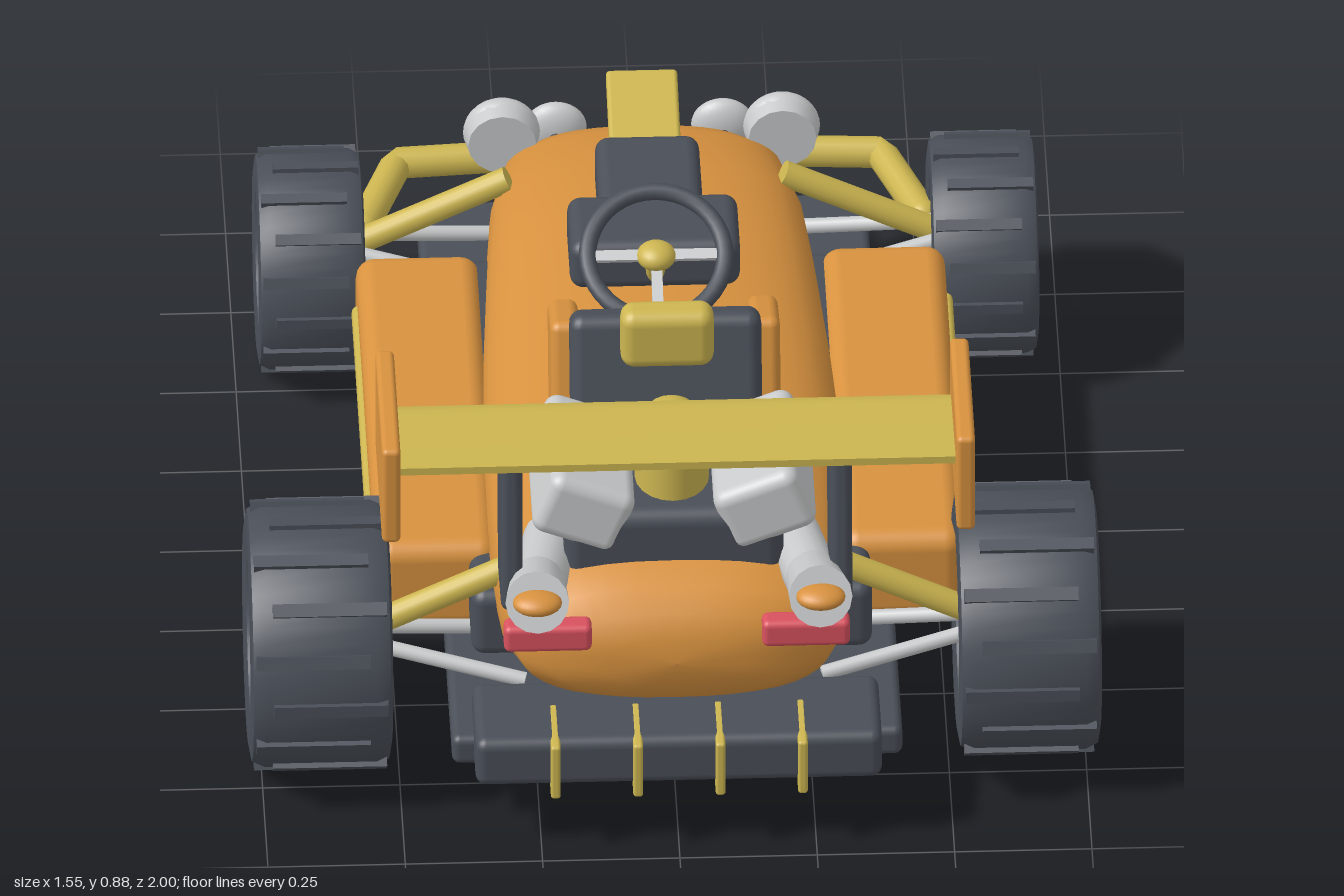
import * as THREE from 'three';
import { toCreasedNormals } from 'three/addons/utils/BufferGeometryUtils.js';
import { RoundedBoxGeometry } from 'three/addons/geometries/RoundedBoxGeometry.js';

const mat = (name, color) => {
  const m = new THREE.MeshStandardMaterial({ color });
  m.name = name;
  return m;
};

export function createModel() {
  const orange = mat('orange paint', 0xd8923f);
  const yellow = mat('yellow paint', 0xcdb651);
  const dark = mat('dark rubber', 0x4a4f58);
  const silver = mat('silver metal', 0xc9cacb);
  const red = mat('red', 0xd9525f);
  const V = (x, y, z) => new THREE.Vector3(x, y, z);
  const car = new THREE.Group();
  car.name = 'racingBuggy';

  const add = (name, geo, m, x = 0, y = 0, z = 0, parent = car) => {
    const mesh = new THREE.Mesh(geo, m);
    mesh.name = name;
    mesh.position.set(x, y, z);
    parent.add(mesh);
    return mesh;
  };
  const box = (name, m, w, h, d, x, y, z, r = 0.02, parent = car) =>
    add(name, new RoundedBoxGeometry(w, h, d, 3, r), m, x, y, z, parent);
  // Cylinder between two points
  const rod = (name, m, a, b, r, r2 = r) => {
    const d = b.clone().sub(a);
    const mesh = add(name, new THREE.CylinderGeometry(r2, r, d.length(), 16), m);
    mesh.position.copy(a).add(b).multiplyScalar(0.5);
    mesh.quaternion.setFromUnitVectors(V(0, 1, 0), d.normalize());
    return mesh;
  };
  const ball = (name, m, x, y, z, rx, ry, rz) => {
    const mesh = add(name, new THREE.SphereGeometry(1, 24, 16), m, x, y, z);
    mesh.scale.set(rx, ry, rz);
    return mesh;
  };

  // Body shell lofted along z: [z, half width, bottom, top]
  const stations = [
    [-0.92, 0.001, 0.235, 0.237], [-0.912, 0.08, 0.2, 0.265], [-0.89, 0.16, 0.175, 0.295],
    [-0.85, 0.215, 0.17, 0.33], [-0.77, 0.255, 0.17, 0.375], [-0.6, 0.285, 0.17, 0.42],
    [-0.4, 0.3, 0.17, 0.445], [-0.1, 0.318, 0.17, 0.455], [0.2, 0.33, 0.17, 0.465],
    [0.45, 0.33, 0.17, 0.495], [0.6, 0.325, 0.18, 0.5], [0.72, 0.315, 0.2, 0.49],
    [0.8, 0.285, 0.22, 0.465], [0.84, 0.23, 0.25, 0.435], [0.86, 0.13, 0.29, 0.39],
    [0.865, 0.001, 0.339, 0.341]];
  const N = 40, pos = [], idx = [];
  const pw = (v) => Math.sign(v) * Math.abs(v) ** 0.8;
  stations.forEach(([z, w, b, t], k) => {
    for (let i = 0; i < N; i++) {
      const a = (i / N) * Math.PI * 2;
      pos.push(w * pw(Math.cos(a)), (b + t) / 2 + ((t - b) / 2) * pw(Math.sin(a)), z);
      if (k < stations.length - 1) {
        const p = k * N + i, q = k * N + ((i + 1) % N);
        idx.push(p, q, q + N, p, q + N, p + N);
      }
    }
  });
  const shell = new THREE.BufferGeometry();
  shell.setAttribute('position', new THREE.Float32BufferAttribute(pos, 3));
  shell.setIndex(idx);
  shell.computeVertexNormals();
  add('body', shell, orange);

  // Floor and rear diffuser
  box('floor', dark, 0.82, 0.06, 1.7, 0, 0.165, 0.03, 0.015);
  box('diffuser', dark, 0.74, 0.1, 0.2, 0, 0.19, 0.86, 0.02);
  for (const x of [-0.225, -0.075, 0.075, 0.225])
    box('diffuserFin', yellow, 0.018, 0.115, 0.14, x, 0.183, 0.91, 0.006);

  // Cockpit
  box('seatBack', dark, 0.35, 0.28, 0.07, 0, 0.585, 0.325, 0.025).rotation.x = -0.3;
  box('headrest', yellow, 0.17, 0.12, 0.068, 0, 0.74, 0.388, 0.025);
  box('dashboard', dark, 0.31, 0.1, 0.175, 0, 0.5, -0.245, 0.025);
  box('cowl', dark, 0.19, 0.1, 0.25, 0, 0.457, -0.455, 0.025);
  box('nosePlate', yellow, 0.13, 0.03, 0.25, 0, 0.44, -0.695, 0.008).rotation.x = 0.23;

  // Steering wheel faces up and towards the seat
  const steering = new THREE.Group();
  steering.name = 'steeringWheel';
  steering.position.set(0, 0.557, -0.118);
  steering.rotation.x = -0.98;
  car.add(steering);
  add('steeringRim', new THREE.TorusGeometry(0.125, 0.016, 12, 40), dark, 0, 0, 0, steering);
  for (const a of [0, Math.PI, -Math.PI / 2]) {
    const spoke = add('steeringSpoke', new THREE.BoxGeometry(0.11, 0.02, 0.012), silver,
      Math.cos(a) * 0.065, Math.sin(a) * 0.065, 0, steering);
    spoke.rotation.z = a;
  }
  ball('steeringHub', yellow, 0, 0.557, -0.118, 0.036, 0.025, 0.036);
  rod('steeringColumn', yellow, V(0, 0.44, -0.2), V(0, 0.557, -0.118), 0.018);

  // Engine
  box('engineBlock', dark, 0.4, 0.17, 0.32, 0, 0.5, 0.58, 0.03);
  const intake = add('airIntake', new THREE.CapsuleGeometry(0.068, 0.11, 8, 20), yellow, 0, 0.62, 0.615);
  intake.scale.z = 1.2;

  // Rear wing
  const foil = new THREE.Shape();
  foil.moveTo(-0.64, 0.755);
  foil.quadraticCurveTo(-0.64, 0.79, -0.72, 0.792);
  foil.lineTo(-0.895, 0.81);
  foil.lineTo(-0.895, 0.795);
  foil.quadraticCurveTo(-0.74, 0.72, -0.64, 0.755);
  const wing = new THREE.ExtrudeGeometry(foil, { depth: 1.03, bevelEnabled: false, curveSegments: 10 });
  wing.rotateY(Math.PI / 2).translate(-0.515, 0, 0);
  add('rearWing', toCreasedNormals(wing, 0.6), yellow);

  // Front bumper
  const path = new THREE.CurvePath();
  const pts = [V(-0.51, 0.195, -0.74), V(-0.44, 0.195, -0.94), V(0, 0.195, -0.97),
    V(0.44, 0.195, -0.94), V(0.51, 0.195, -0.74)];
  for (let i = 0; i < 4; i++) path.add(new THREE.LineCurve3(pts[i], pts[i + 1]));
  add('frontBumper', new THREE.TubeGeometry(path, 80, 0.029, 12), yellow);
  for (const p of [pts[0], pts[4]]) ball('bumperEnd', yellow, p.x, p.y, p.z, 0.029, 0.029, 0.029);

  // Wheel with its axis on local y, pointing outboard
  const wheel = (name, s, x, y, z, R, w) => {
    const g = new THREE.Group();
    g.name = name;
    g.position.set(s * x, y, z);
    g.rotation.z = (-s * Math.PI) / 2;
    car.add(g);
    const h = w / 2, ri = R * 0.6;
    const profile = [[ri, -h * 0.8], [ri * 1.08, -h * 0.95], [R * 0.82, -h], [R * 0.94, -h * 0.96],
      [R * 0.985, -h * 0.78], [R * 0.985, h * 0.78], [R * 0.94, h * 0.96], [R * 0.82, h],
      [ri * 1.08, h * 0.95], [ri, h * 0.8], [ri, -h * 0.8]].map(([a, b]) => new THREE.Vector2(a, b));
    add('tyre', toCreasedNormals(new THREE.LatheGeometry(profile, 48), 0.5), dark, 0, 0, 0, g);
    for (let i = 0; i < 16; i++) {
      const a = (i / 16) * Math.PI * 2;
      const bar = add('treadBar', new THREE.BoxGeometry(0.022, w * 0.8, R * 0.1), dark,
        Math.cos(a) * (R - 0.006), (i % 2 ? 1 : -1) * w * 0.06, Math.sin(a) * (R - 0.006), g);
      bar.rotation.y = -a;
    }
    // Five spokes, widening outwards, with one pointing up
    for (let i = 0; i < 5; i++) {
      const a = (i / 5) * Math.PI * 2 + (s > 0 ? Math.PI : 0);
      const geo = new THREE.CylinderGeometry(R * 0.1, R * 0.065, ri, 12);
      geo.rotateZ(-Math.PI / 2).translate(ri * 0.52, 0, 0).rotateY(-a);
      add('spoke', geo, yellow, 0, h * 0.3, 0, g);
    }
    add('axle', new THREE.CylinderGeometry(R * 0.1, R * 0.1, w * 0.8, 16), red, 0, -h * 0.1, 0, g);
    add('hubCap', new THREE.SphereGeometry(R * 0.17, 20, 14), red, 0, h * 0.4, 0, g);
  };

  // Parts mirrored on both sides
  for (const s of [-1, 1]) {
    wheel('rearWheel', s, 0.645, 0.257, 0.625, 0.245, 0.26);
    wheel('frontWheel', s, 0.613, 0.212, -0.62, 0.203, 0.195);

    // Suspension arms: wheel z, hub height, body height
    for (const [z, hub, top] of [[0.62, 0.285, 0.385], [-0.62, 0.25, 0.35]]) {
      rod('upperArm', yellow, V(s * 0.25, top + 0.03, z), V(s * 0.56, hub - 0.02, z), 0.024);
      for (const k of [-1, 1])
        rod('lowerArm', silver, V(s * 0.27, 0.2, z + k * 0.085), V(s * 0.56, 0.25, z + k * 0.025), 0.014);
    }

    // Side pods
    box('sidePod', orange, 0.225, 0.185, 0.94, s * 0.424, 0.267, 0.04, 0.035);
    box('sidePodRail', yellow, 0.03, 0.036, 0.79, s * 0.532, 0.304, 0.075, 0.012);
    box('sideDuct', dark, 0.12, 0.14, 1.07, s * 0.305, 0.27, 0.1, 0.025);

    // Seat bolsters
    box('seatBolster', orange, 0.055, 0.24, 0.145, s * 0.182, 0.57, 0.262, 0.018).rotation.x = -0.27;

    // Engine covers and exhausts
    box('engineCover', silver, 0.165, 0.13, 0.29, s * 0.165, 0.585, 0.6, 0.025).rotation.z = s * 0.38;
    rod('exhaustBend', silver, V(s * 0.22, 0.44, 0.6), V(s * 0.25, 0.475, 0.8), 0.05);
    rod('exhaust', silver, V(s * 0.25, 0.47, 0.78), V(s * 0.258, 0.548, 0.955), 0.05, 0.058);
    ball('exhaustTip', orange, s * 0.258, 0.552, 0.962, 0.045, 0.02, 0.035);

    // Wing supports and end plates
    box('wingSupport', dark, 0.04, 0.31, 0.17, s * 0.3, 0.605, 0.76, 0.015).rotation.x = -0.1;
    box('wingEndPlate', orange, 0.034, 0.205, 0.325, s * 0.523, 0.777, 0.777, 0.01);

    // Lights
    box('tailLight', red, 0.16, 0.055, 0.045, s * 0.235, 0.403, 0.85, 0.012);
    rod('headlightCase', silver, V(s * 0.255, 0.35, -0.77), V(s * 0.255, 0.35, -0.815), 0.062, 0.07);
    ball('headlightLens', silver, s * 0.255, 0.35, -0.812, 0.07, 0.07, 0.042);
    ball('fogLight', silver, s * 0.152, 0.27, -0.937, 0.057, 0.052, 0.028);
    rod('fogLightStem', dark, V(s * 0.152, 0.25, -0.86), V(s * 0.152, 0.265, -0.935), 0.014);
  }
  return car;
}
